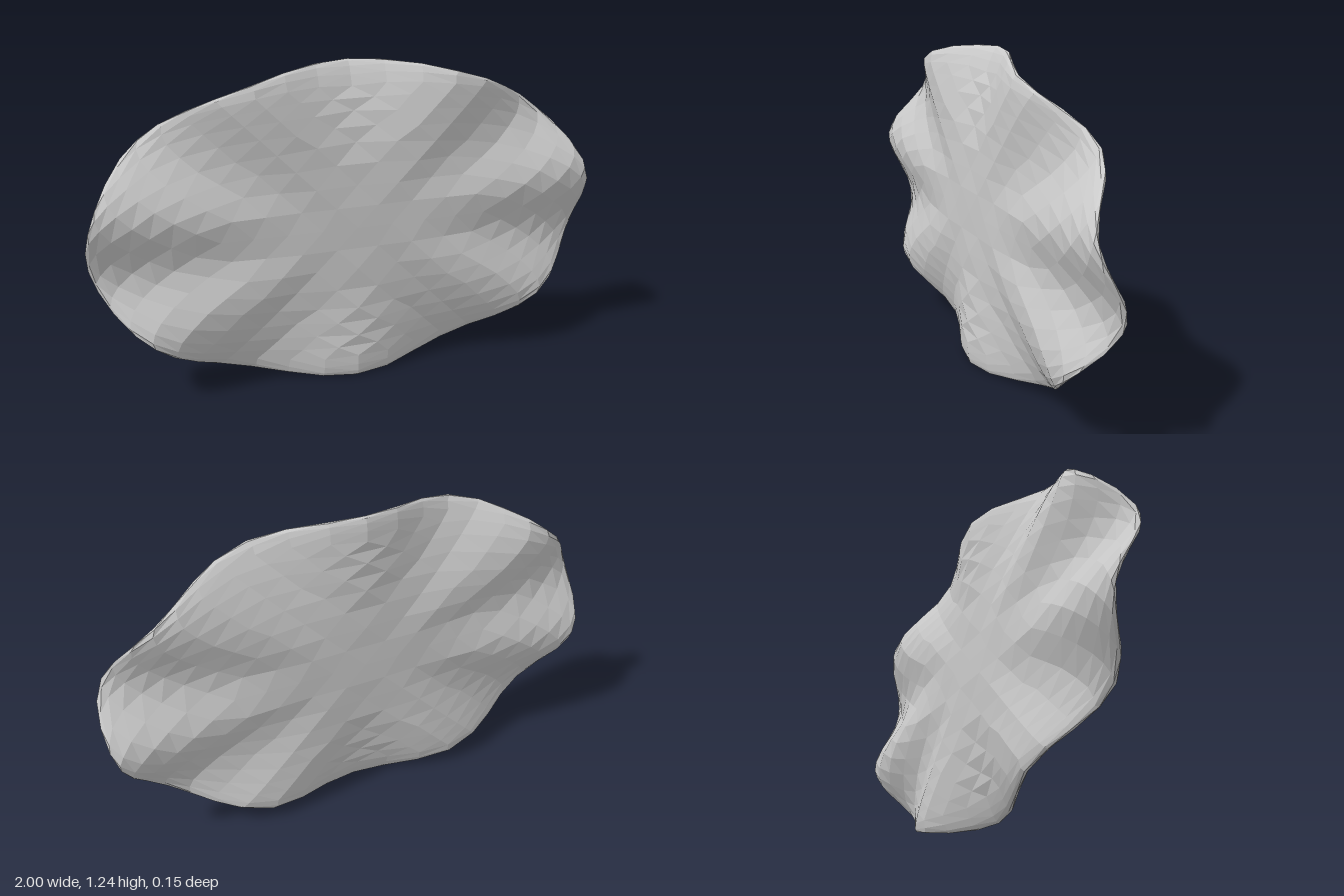
import * as THREE from 'three';

const RX = 1, RY = 0.62;        // half width and half height of the oval
const BULGE = 0.065;            // half thickness at the centre
const RUFFLE = 0.055, WAVES = 7; // height and number of rim waves

// Sphere triangles, made by halving the edges of an icosahedron
function icosphere(levels) {
  const p = new THREE.IcosahedronGeometry(1, 0).rotateZ(Math.PI / 2).getAttribute('position');
  let points = [];
  for (let i = 0; i < p.count; i++) points.push(new THREE.Vector3().fromBufferAttribute(p, i));
  const mid = (a, b) => a.clone().add(b).normalize();
  for (let l = 0; l < levels; l++) {
    const next = [];
    for (let i = 0; i < points.length; i += 3) {
      const [a, b, c] = points.slice(i, i + 3);
      const ab = mid(a, b), bc = mid(b, c), ca = mid(c, a);
      next.push(a, ab, ca, ab, b, bc, ca, bc, c, ab, bc, ca);
    }
    points = next;
  }
  return points;
}

// Flatten a sphere point into the oval and ruffle it towards the rim
function ruffle(v) {
  const r2 = v.x * v.x + v.y * v.y;
  const wave = RUFFLE * r2 * Math.sin(WAVES * Math.atan2(v.y, v.x));
  return new THREE.Vector3(v.x * RX, RY + v.y * RY, v.z * BULGE + wave);
}

export function createModel() {
  const group = new THREE.Group();
  group.name = 'ruffledOval';

  // Thin pillow-shaped body with a wavy rim
  const geometry = new THREE.BufferGeometry().setFromPoints(icosphere(3).map(ruffle));
  geometry.computeVertexNormals();
  const body = new THREE.Mesh(
    geometry,
    new THREE.MeshStandardMaterial({ color: 0xcccccc, flatShading: true })
  );
  body.name = 'wavyBody';
  group.add(body);
  return group;
}
